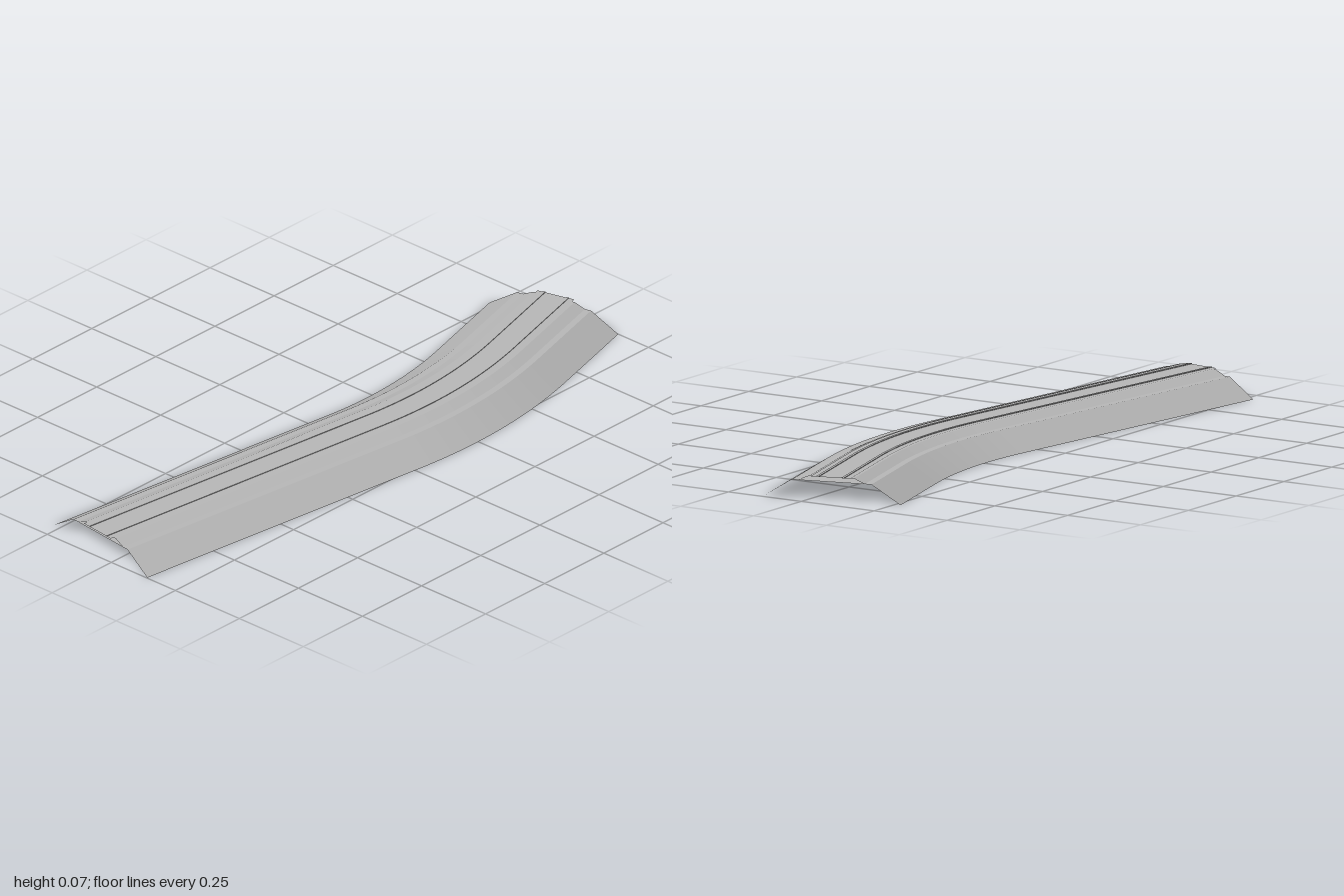
import * as THREE from 'three';

const V = (x, z) => new THREE.Vector3(x, 0, z);

// Centre line: straight, gentle bend, straight; extended past both ends by `over`
function stations(over) {
  const front = V(-0.068, 0.972), apex = V(0.096, -0.341), back = V(-0.068, -0.945);
  const t0 = apex.clone().sub(front).normalize();
  const t1 = back.clone().sub(apex).normalize();
  const bend = new THREE.QuadraticBezierCurve3(
    apex.clone().addScaledVector(t0, -0.3), apex, apex.clone().addScaledVector(t1, 0.3));
  const list = [{ p: front.addScaledVector(t0, -over), t: t0 }];
  for (let i = 0; i <= 24; i++) list.push({ p: bend.getPoint(i / 24), t: bend.getTangent(i / 24) });
  list.push({ p: back.addScaledVector(t1, over), t: t1 });
  return list;
}

// Sweeps a cross-section of [offset, height] points, left to right.
// Each face strip has its own vertices: crisp edges, smooth along the bend.
function sweep(name, profile, over, material) {
  const pos = [], index = [], path = stations(over);
  for (let k = 0; k < profile.length - 1; k++) {
    const base = pos.length / 3;
    path.forEach(({ p, t }, i) => {
      for (const [o, y] of [profile[k], profile[k + 1]]) pos.push(p.x - t.z * o, y, p.z + t.x * o);
      if (i > 0) {
        const a = base + (i - 1) * 2;
        index.push(a, a + 1, a + 2, a + 1, a + 3, a + 2);
      }
    });
  }
  const geo = new THREE.BufferGeometry();
  geo.setAttribute('position', new THREE.Float32BufferAttribute(pos, 3));
  geo.setIndex(index);
  geo.computeVertexNormals();
  const mesh = new THREE.Mesh(geo, material);
  mesh.name = name;
  return mesh;
}

export function createModel() {
  const group = new THREE.Group();
  group.name = 'curvedTrack';
  const grey = new THREE.MeshStandardMaterial({ color: 0xb8b8b8, side: THREE.DoubleSide });
  grey.name = 'light grey';

  // Hollow earth bank and the gravel bed on top of it
  group.add(sweep('embankment', [[-0.208, 0], [-0.12, 0.055], [0.12, 0.055], [0.208, 0]], 0, grey));
  group.add(sweep('ballast', [[-0.1, 0.055], [-0.067, 0.0695], [0.067, 0.0695], [0.1, 0.055]], 0, grey));

  // Thin track bed that reaches slightly past both ends
  group.add(sweep('trackBed', [[-0.06, 0.0705], [0.06, 0.0705]], 0.012, grey));

  // Pair of low rails
  for (const s of [-1, 1]) {
    const c = s * 0.038, w = 0.004;
    group.add(sweep(s < 0 ? 'rightRail' : 'leftRail',
      [[c - w, 0.0705], [c - w, 0.0725], [c + w, 0.0725], [c + w, 0.0705]], 0.012, grey));
  }
  return group;
}
